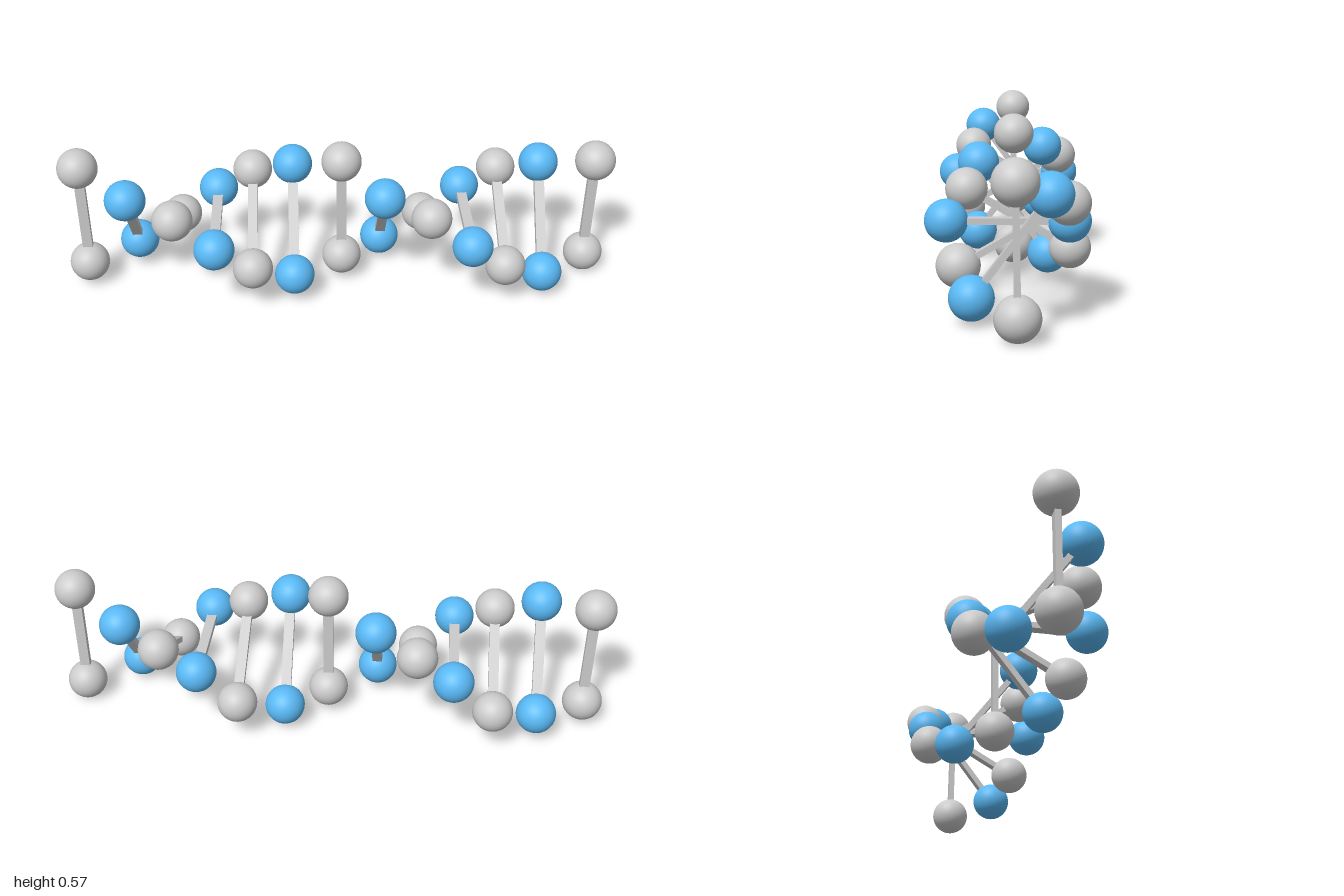
import * as THREE from 'three';

// Each rung of the double helix: x, centre y, centre z, twist in degrees
const RUNGS = [
  [-0.928, 0.292, -0.015, 0],
  [-0.752, 0.272, -0.009, 36],
  [-0.59, 0.27, -0.029, 60],
  [-0.446, 0.286, 0.004, 90],
  [-0.315, 0.272, -0.01, 120],
  [-0.166, 0.267, -0.004, 143],
  [0.01, 0.297, -0.018, 180],
  [0.159, 0.256, -0.017, 217],
  [0.323, 0.252, -0.034, 240],
  [0.466, 0.272, 0.001, 270],
  [0.597, 0.255, -0.017, 300],
  [0.744, 0.249, -0.01, 323],
  [0.926, 0.277, -0.026, 361],
];
const HALF = 0.2025; // centre of a rung to the centre of each ball
const RADIUS = 0.072;

export function createModel() {
  const model = new THREE.Group();
  model.name = 'doubleHelix';

  const grey = new THREE.MeshStandardMaterial({ color: 0xcccccc });
  const blue = new THREE.MeshStandardMaterial({ color: 0x5ab9f5 });
  const ballGeometry = new THREE.SphereGeometry(RADIUS, 40, 24);
  const barGeometry = new THREE.BoxGeometry(0.036, HALF * 2, 0.021);

  RUNGS.forEach(([x, y, z, degrees], i) => {
    const rung = new THREE.Group();
    rung.name = `rung${i + 1}`;
    rung.position.set(x, y, z);
    rung.rotation.x = THREE.MathUtils.degToRad(degrees);

    // Flat connecting bar
    const bar = new THREE.Mesh(barGeometry, grey);
    bar.name = 'bar';
    rung.add(bar);

    // A ball on both ends, alternating grey and blue along the helix
    for (const side of [1, -1]) {
      const ball = new THREE.Mesh(ballGeometry, i % 2 ? blue : grey);
      ball.name = side > 0 ? 'ballFirstStrand' : 'ballSecondStrand';
      ball.position.y = side * HALF;
      rung.add(ball);
    }
    model.add(rung);
  });

  return model;
}
